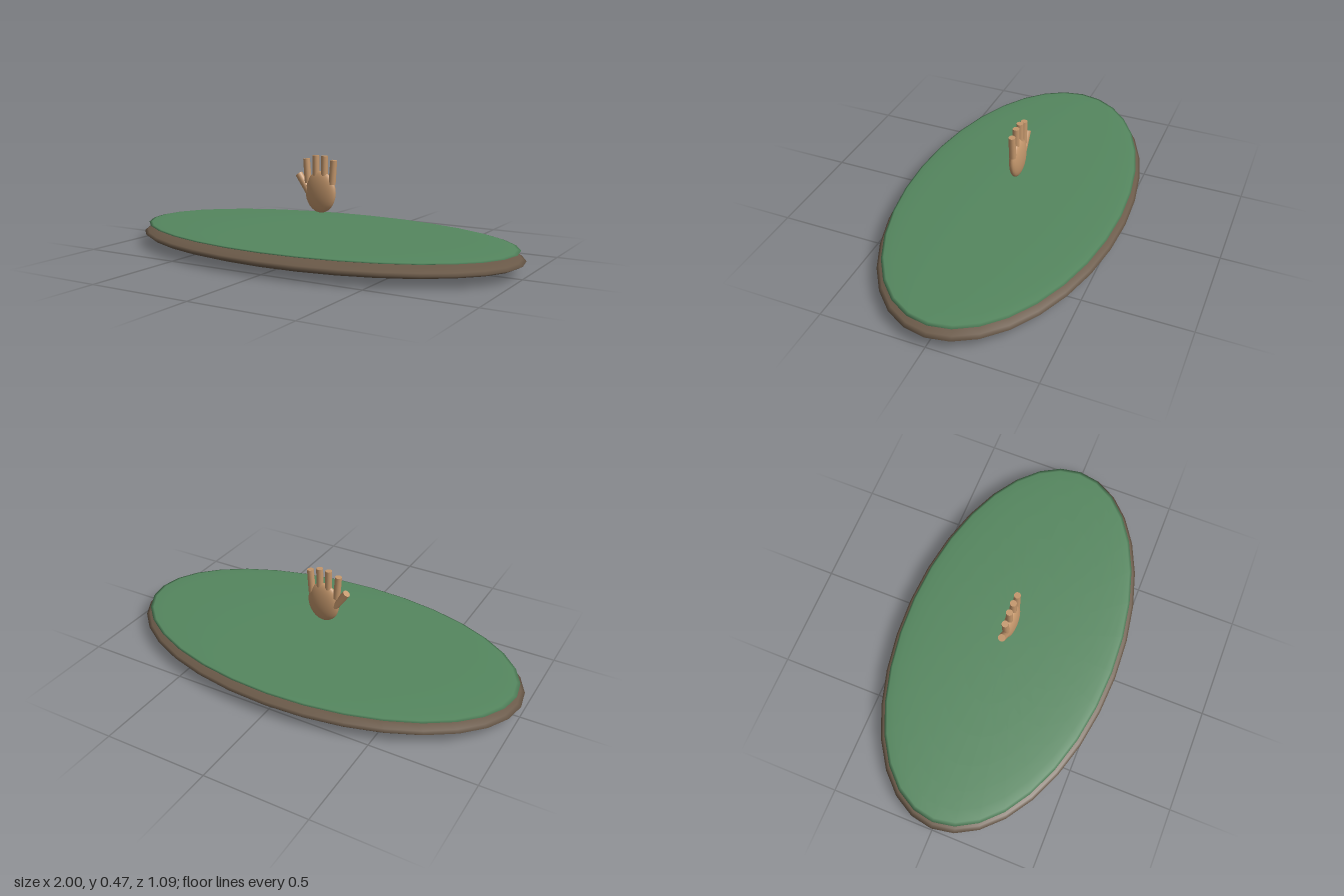
import * as THREE from 'three';

const soil = new THREE.MeshStandardMaterial({ color: 0x6b5a49 });
soil.name = 'soil brown';
const grass = new THREE.MeshStandardMaterial({ color: 0x55875f });
grass.name = 'grass green';
const skin = new THREE.MeshStandardMaterial({ color: 0xc4976c });
skin.name = 'skin tan';

// Sphere squashed to the given radii
function ellipsoid(name, material, radii, y, segments, rings) {
  const geometry = new THREE.SphereGeometry(1, segments, rings);
  geometry.scale(...radii);
  const mesh = new THREE.Mesh(geometry, material);
  mesh.name = name;
  mesh.position.y = y;
  return mesh;
}

// Flat-ended cylinder from base to tip, in the plane of the palm
function finger(name, [x0, y0], [x1, y1], radius) {
  const base = new THREE.Vector3(x0, y0, 0);
  const axis = new THREE.Vector3(x1, y1, 0).sub(base);
  const geometry = new THREE.CylinderGeometry(radius * 0.95, radius, axis.length(), 12);
  const mesh = new THREE.Mesh(geometry, skin);
  mesh.name = name;
  mesh.position.copy(base).addScaledVector(axis, 0.5);
  mesh.quaternion.setFromUnitVectors(new THREE.Vector3(0, 1, 0), axis.normalize());
  return mesh;
}

export function createModel() {
  const model = new THREE.Group();
  model.name = 'handAboveIsland';

  // Oval ground: brown base with a thinner green cap
  model.add(ellipsoid('islandBase', soil, [1, 0.057, 0.546], 0.058, 32, 16));
  model.add(ellipsoid('islandTop', grass, [0.975, 0.018, 0.523], 0.103, 32, 16));

  // Open hand floating over the middle
  const hand = new THREE.Group();
  hand.name = 'hand';
  hand.add(ellipsoid('palm', skin, [0.082, 0.1, 0.03], 0.3, 24, 16));
  hand.add(finger('indexFinger', [-0.069, 0.34], [-0.078, 0.455], 0.017));
  hand.add(finger('middleFinger', [-0.024, 0.34], [-0.026, 0.473], 0.017));
  hand.add(finger('ringFinger', [0.02, 0.34], [0.022, 0.473], 0.017));
  hand.add(finger('littleFinger', [0.063, 0.34], [0.072, 0.455], 0.017));
  hand.add(finger('thumb', [-0.058, 0.29], [-0.121, 0.379], 0.019));
  model.add(hand);

  return model;
}
